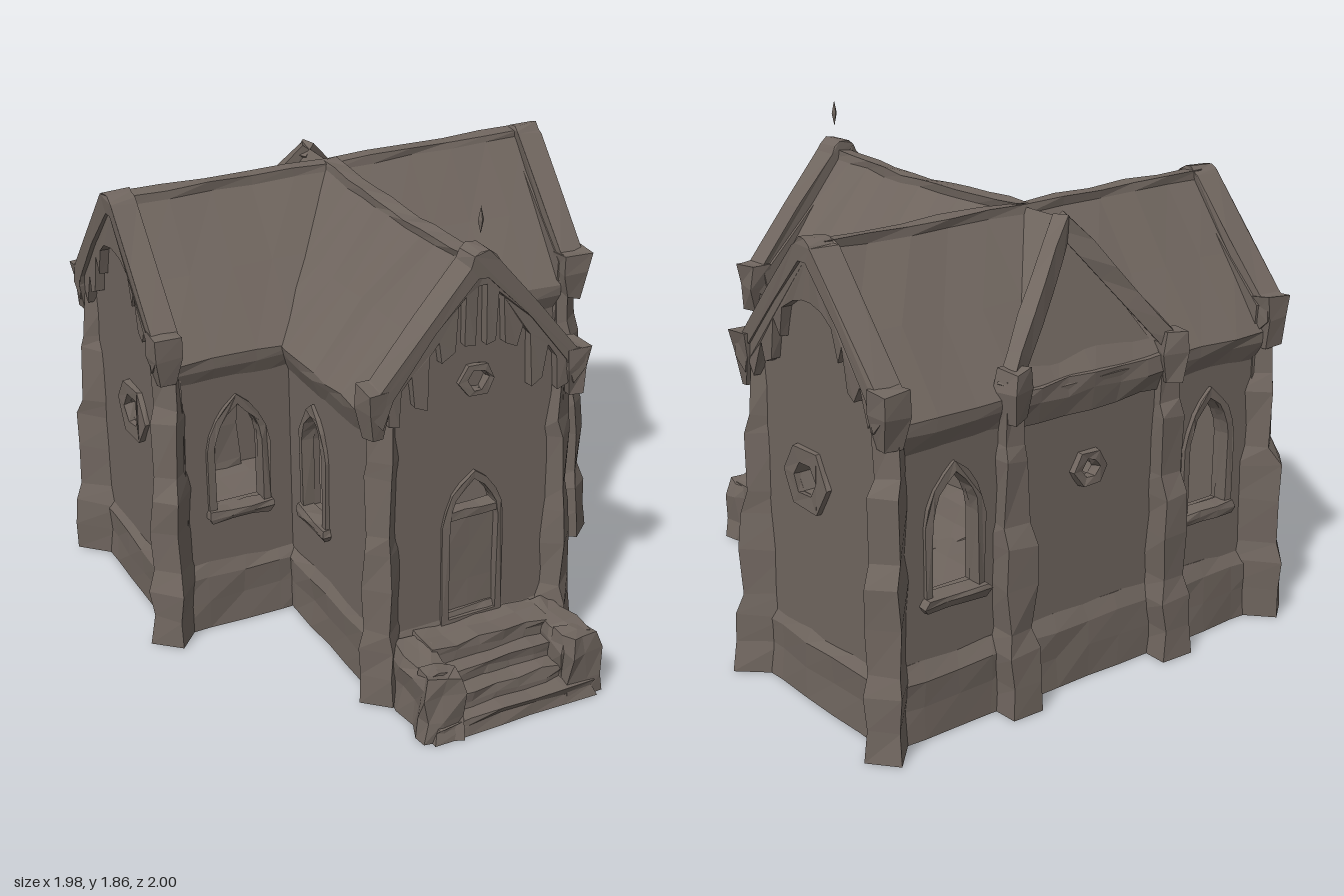
import * as THREE from 'three';
import { ConvexGeometry } from 'three/addons/geometries/ConvexGeometry.js';

const stone = new THREE.MeshStandardMaterial({ color: 0x70665f, flatShading: true });
stone.name = 'weathered stone';

// Repeatable roughness: equal positions always move equally
function roughen(geo, amount, seed) {
  const p = geo.attributes.position;
  const v = new THREE.Vector3();
  const noise = (k) => {
    const s = Math.sin(Math.round(v.x * 400) * 12.99 + Math.round(v.y * 400) * 78.23 + Math.round(v.z * 400) * 37.72 + k * 19.19 + seed * 3.7) * 43758.55;
    return (s - Math.floor(s)) * 2 - 1;
  };
  for (let i = 0; i < p.count; i++) {
    v.fromBufferAttribute(p, i);
    p.setXYZ(i, v.x + noise(1) * amount, v.y < 0.002 ? v.y : v.y + noise(2) * amount, v.z + noise(3) * amount);
  }
  geo.computeVertexNormals();
  return geo;
}

// Stacked rectangular rings; each level is [y, width, depth, z offset]
function tower(levels, sx = 1, sz = 1) {
  const n = levels.length - 1;
  const geo = new THREE.BoxGeometry(1, 1, 1, sx, n, sz);
  const p = geo.attributes.position;
  for (let i = 0; i < p.count; i++) {
    const [y, w, d, off = 0] = levels[Math.round((p.getY(i) + 0.5) * n)];
    p.setXYZ(i, p.getX(i) * w, y, p.getZ(i) * d + off);
  }
  return geo;
}

const poly = (pts) => new THREE.Shape(pts.map(([x, y]) => new THREE.Vector2(x, y)));
const flip = (pts) => pts.map(([x, y]) => [-x, y]);
const mirrored = (pts) => [...pts, ...flip(pts.filter(([x]) => x !== 0)).reverse()];

// Pointed arch outline
function arch(cx, y0, half, top, T = THREE.Path) {
  const s = new T(), spring = top - half * 1.7;
  s.moveTo(cx - half, y0).lineTo(cx + half, y0).lineTo(cx + half, spring);
  s.quadraticCurveTo(cx + half * 0.9, top - half * 0.6, cx, top);
  s.quadraticCurveTo(cx - half * 0.9, top - half * 0.6, cx - half, spring);
  return s;
}

// Six-sided round-window outline
function hex(cx, cy, rx, ry, T = THREE.Path) {
  const pts = [];
  for (let i = 0; i < 6; i++) pts.push(new THREE.Vector2(cx + rx * Math.cos(i * Math.PI / 3), cy + ry * Math.sin(i * Math.PI / 3)));
  return new T(pts);
}

// Flat slab whose front lies at z = front
function slab(shape, holes, depth, front = 0) {
  shape.holes.push(...holes);
  return new THREE.ExtrudeGeometry(shape, { depth, bevelEnabled: false, curveSegments: 4 }).translate(0, 0, front - depth);
}

export function createModel() {
  const root = new THREE.Group();
  root.name = 'chapel';
  let seed = 0;
  const add = (name, geo, x = 0, z = 0, ry = 0, rough = 0.007, parent = root) => {
    const m = new THREE.Mesh(roughen(geo, rough, ++seed), stone);
    m.name = name;
    m.position.set(x, 0, z);
    m.rotation.y = ry;
    parent.add(m);
    return m;
  };
  const on = (parent, name, geo, rough) => add(name, geo, 0, 0, 0, rough, parent);
  const side = (name, x, z, ry) => {
    const g = new THREE.Group();
    g.name = name;
    g.position.set(x, 0, z);
    g.rotation.y = ry;
    root.add(g);
    return g;
  };

  // Frame and sill of a pointed window
  const windowTrim = (g, cx, half) => {
    on(g, 'windowFrame', slab(arch(cx, 0.49, half + 0.03, 0.97, THREE.Shape), [arch(cx, 0.5, half, 0.93)], 0.05, 0.015), 0.004);
    on(g, 'windowSill', tower([[0.455, half * 2 + 0.05, 0.05], [0.48, half * 2 + 0.085, 0.07], [0.505, half * 2 + 0.065, 0.06]], 3).translate(cx, 0, 0), 0.006);
  };
  const roundTrim = (g, cx, cy, r, R) =>
    on(g, 'roundWindowFrame', slab(hex(cx, cy, R, R * 0.9, THREE.Shape), [hex(cx, cy, r, r)], 0.04, 0.022), 0.006);

  // Gable end with parapet coping, hanging tracery and kneelers
  const gable = (g, half, apex, openings, teeth) => {
    on(g, 'gableWall', slab(poly(mirrored([[half, 0], [half, 1.15], [0.39, 1.24], [0, 1.64]])), openings, 0.06), 0);
    const outer = [[0.43, 1.19], [0.43, 1.265], [0.39, 1.275], [0.22, 1.475], [0.055, 1.66], [0.045, apex - 0.02], [0.015, apex]];
    const inner = [[0.02, 1.61], [0.19, 1.435], [0.35, 1.235], [0.38, 1.13]];
    on(g, 'coping', slab(poly([...outer, ...flip(outer).reverse(), ...flip(inner).reverse(), ...inner]), [], 0.1, 0.05), 0.006);
    const under = [[0.36, 1.28], [0.2, 1.46], [0.02, 1.64]];
    on(g, 'tracery', slab(poly([...under, ...flip(under).reverse(), ...flip(teeth), ...teeth.slice().reverse()]), [], 0.06, 0.036), 0.004);
    for (const s of [-1, 1])
      on(g, 'kneeler', tower([[1.08, 0.05, 0.07], [1.19, 0.085, 0.1], [1.275, 0.085, 0.11]]).translate(s * 0.4, 0, 0), 0.009);
  };
  const frontTeeth = [[0.36, 1.13], [0.32, 1.12], [0.31, 1.25], [0.27, 1.3], [0.255, 1.18], [0.205, 1.16], [0.2, 1.36],
    [0.165, 1.4], [0.15, 1.32], [0.1, 1.35], [0.09, 1.52], [0.065, 1.55], [0.06, 1.37], [0.022, 1.36], [0.018, 1.58]];
  const sideTeeth = [[0.36, 1.18], [0.33, 1.13], [0.29, 1.26], [0.26, 1.2], [0.22, 1.22], [0.2, 1.37],
    [0.17, 1.31], [0.14, 1.42], [0.08, 1.46], [0.02, 1.47]];

  // Base course of the T plan
  const plinth = (w, d, z, sx, sz) =>
    add('plinth', tower([[0, w, d], [0.12, w - 0.01, d - 0.01], [0.22, w, d], [0.28, w - 0.06, d - 0.06]], sx, sz), 0, z);
  plinth(1.77, 0.81, -0.49, 12, 5);
  plinth(0.78, 0.85, 0.23, 5, 6);

  // Front gable, door and round window
  const front = side('frontGable', 0, 0.635, 0);
  gable(front, 0.37, 1.715, [arch(0, 0.26, 0.1, 0.84), hex(0, 1.22, 0.045, 0.045)], frontTeeth);
  roundTrim(front, 0, 1.22, 0.042, 0.07);
  on(front, 'doorFrame', slab(arch(0, 0.25, 0.125, 0.865, THREE.Shape), [arch(0, 0.26, 0.1, 0.83)], 0.05, 0.014), 0.004);
  on(front, 'door', new THREE.BoxGeometry(0.2, 0.42, 0.03, 2, 3, 1).translate(0, 0.47, -0.035), 0.003);
  on(front, 'doorLintel', new THREE.BoxGeometry(0.2, 0.035, 0.06, 3, 1, 1).translate(0, 0.69, -0.02), 0.004);

  for (const s of [-1, 1]) {
    // Transept end walls
    const end = side('transeptGable', s * 0.865, -0.485, s * Math.PI / 2);
    gable(end, 0.385, 1.69, [hex(-s * 0.06, 0.83, 0.065, 0.065)], sideTeeth);
    roundTrim(end, -s * 0.06, 0.83, 0.065, 0.135);

    // Nave side walls
    const nave = side('naveSide', s * 0.37, 0.25, s * Math.PI / 2);
    on(nave, 'naveWall', slab(poly([[-0.37, 0], [0.37, 0], [0.37, 1.1], [-0.37, 1.1]]), [arch(s * 0.14, 0.5, 0.088, 0.93)], 0.06), 0);
    windowTrim(nave, s * 0.14, 0.085);

    // Transept front and back walls
    for (const f of [1, -1]) {
      const w = side(f > 0 ? 'transeptFront' : 'transeptBack', s * 0.59, f > 0 ? -0.11 : -0.865, f > 0 ? 0 : Math.PI);
      on(w, 'transeptWall', slab(poly([[-0.26, 0], [0.26, 0], [0.26, 1.1], [-0.26, 1.1]]), [arch(0, 0.5, 0.098, 0.93)], 0.06), 0);
      windowTrim(w, 0, 0.095);
    }
  }

  // Middle of the back wall
  const back = side('backBay', 0, -0.865, Math.PI);
  on(back, 'backWall', slab(poly([[-0.36, 0], [0.36, 0], [0.36, 1.14], [-0.36, 1.14]]), [hex(0, 0.8, 0.04, 0.04)], 0.06), 0);
  roundTrim(back, 0, 0.8, 0.038, 0.08);
  on(back, 'backLintel', tower([[1.02, 0.7, 0.03], [1.1, 0.72, 0.07], [1.16, 0.72, 0.06]], 6), 0.008);

  // Stepped buttresses
  const buttress = (x, z, ry, k, top = 1.16) => {
    const L = [[0, 0.125, 0.165], [0.12, 0.12, 0.155], [0.23, 0.13, 0.16], [0.31, 0.11, 0.125], [0.48, 0.115, 0.13], [0.62, 0.11, 0.125],
      [0.7, 0.1, 0.08], [0.92, 0.1, 0.085], [0.98, 0.09, 0.055], [top, 0.085, 0.05]];
    add('buttress', tower(L.map(([y, w, d]) => [y, w, d * k + 0.08, (d * k - 0.08) / 2])), x, z, ry, 0.01);
  };
  for (const s of [-1, 1]) {
    buttress(s * 0.85, -0.125, s * Math.PI / 4, 0.7);
    buttress(s * 0.85, -0.855, s * Math.PI * 0.75, 0.8);
    buttress(s * 0.36, 0.62, s * Math.PI / 4, 0.38);
    buttress(s * 0.36, -0.865, Math.PI, 0.72, 1.2);
  }

  // Roofs: solid sections with cornice, eave, ridge cap and a slight sag
  const roof = (name, length, sag) => {
    const sec = mirrored([[0.36, 1.0], [0.4, 1.1], [0.405, 1.14], [0.21, 1.4], [0.03, 1.645], [0.028, 1.675]]);
    const geo = new THREE.ExtrudeGeometry(poly(sec), { depth: length, steps: 10, bevelEnabled: false });
    const p = geo.attributes.position;
    for (let i = 0; i < p.count; i++)
      p.setY(i, p.getY(i) - sag * Math.sin(Math.PI * p.getZ(i) / length) * Math.max(0, p.getY(i) - 1.1) / 0.57);
    return add(name, geo, 0, 0, 0, 0.006);
  };
  roof('naveRoof', 1.12, 0.02).position.z = -0.5;
  const cross = roof('transeptRoof', 1.7, 0.006);
  cross.rotation.y = Math.PI / 2;
  cross.position.set(-0.85, 0, -0.49);

  // Small rear gable with leaning face and copings
  const V = (x, y, z) => new THREE.Vector3(x, y, z);
  add('rearGable', new ConvexGeometry([V(-0.37, 1.1, -0.88), V(0.37, 1.1, -0.88), V(0, 1.66, -0.68), V(0, 1.66, -0.46),
    V(-0.37, 1.1, -0.5), V(0.37, 1.1, -0.5)]), 0, 0, 0, 0);
  for (const s of [-1, 1]) {
    const a = V(s * 0.385, 1.17, -0.89), b = V(-s * 0.01, 1.655, -0.7);
    const bar = add('rearCoping', new THREE.BoxGeometry(0.06, 0.07, a.distanceTo(b), 1, 1, 5), 0, 0, 0, 0.007);
    bar.position.copy(a).lerp(b, 0.5);
    bar.lookAt(b);
    add('rearKneeler', tower([[1.06, 0.07, 0.08], [1.17, 0.1, 0.1], [1.24, 0.08, 0.08]]), s * 0.36, -0.89, s * 0.3, 0.01);
  }

  // Entrance steps and side blocks
  for (let i = 0; i < 4; i++) {
    const h = 0.07 + i * 0.06, far = 0.985 - i * 0.065, w = i ? 0.52 : 0.68;
    add('step', tower([[0, w, far - 0.62], [h - 0.03, w - 0.02, far - 0.63], [h, w - 0.03, far - 0.62]], 5, 2), 0, (far + 0.62) / 2, 0, 0.01);
  }
  for (const s of [-1, 1]) {
    add('stepCheek', tower([[0, 0.15, 0.3], [0.1, 0.13, 0.28], [0.2, 0.13, 0.29], [0.25, 0.11, 0.28]], 2, 3), s * 0.28, 0.79, 0, 0.012);
    add('stepPost', tower([[0, 0.16, 0.13], [0.08, 0.14, 0.11], [0.19, 0.15, 0.12], [0.255, 0.12, 0.1]], 2, 2), s * 0.285, 0.915, s * 0.15, 0.012);
  }

  // Finial above the front gable
  const finial = add('finial', new THREE.OctahedronGeometry(1).scale(0.012, 0.05, 0.01), 0, 0.65, 0, 0);
  finial.position.y = 1.81;
  return root;
}
